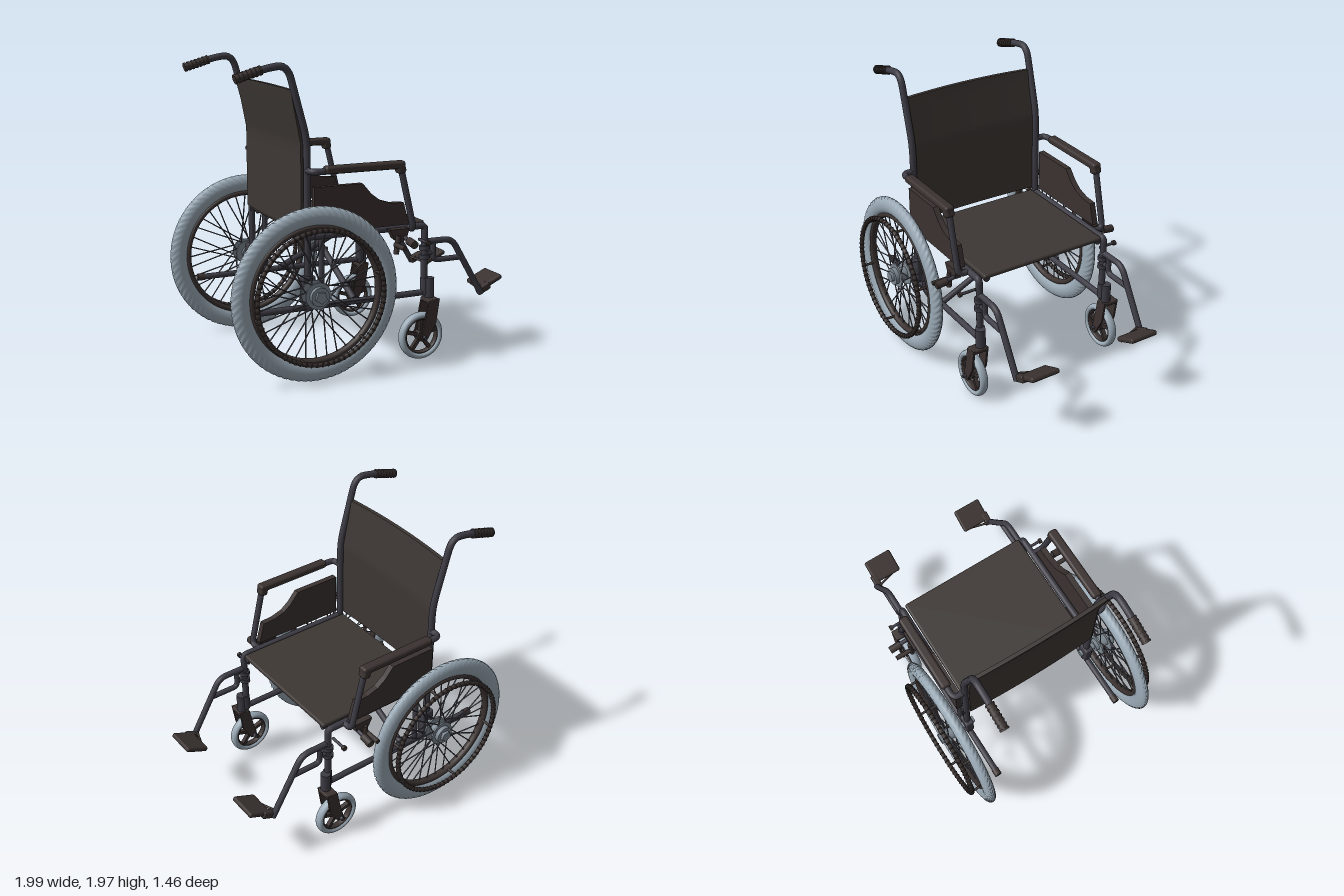
import * as THREE from 'three';
import { mergeGeometries } from 'three/addons/utils/BufferGeometryUtils.js';
import { RoundedBoxGeometry } from 'three/addons/geometries/RoundedBoxGeometry.js';

const mat = (color) => new THREE.MeshStandardMaterial({ color });
const STEEL = mat(0x3d3b44), DARK = mat(0x3a3230), FABRIC = mat(0x3d3734);
const TYRE = mat(0x9aa9b5), HUB = mat(0x7c8790), SPOKE = mat(0x55555f);
const V = (x, y, z) => new THREE.Vector3(x, y, z);

function add(parent, name, geo, material, x = 0, y = 0, z = 0) {
  const m = new THREE.Mesh(geo, material);
  m.name = name;
  m.position.set(x, y, z);
  parent.add(m);
  return m;
}

// Straight round bar between two points
function rodGeo(a, b, r, sides = 12) {
  const d = b.clone().sub(a);
  const g = new THREE.CylinderGeometry(r, r, d.length(), sides);
  g.applyQuaternion(new THREE.Quaternion().setFromUnitVectors(V(0, 1, 0), d.normalize()));
  return g.translate(...a.clone().add(b).multiplyScalar(0.5).toArray());
}
const rod = (p, name, a, b, r, m = STEEL) => add(p, name, rodGeo(a, b, r), m);

// Bent tube with rounded corners and capped ends
function bentTube(parent, name, pts, r, bend = 0.06, segs = 60) {
  const path = new THREE.CurvePath();
  let from = pts[0];
  for (let i = 1; i < pts.length - 1; i++) {
    const p = pts[i], k = (q) => Math.min(bend, p.distanceTo(q) * 0.45);
    const a = p.clone().add(pts[i - 1].clone().sub(p).setLength(k(pts[i - 1])));
    const b = p.clone().add(pts[i + 1].clone().sub(p).setLength(k(pts[i + 1])));
    path.add(new THREE.LineCurve3(from, a));
    path.add(new THREE.QuadraticBezierCurve3(a, p, b));
    from = b;
  }
  path.add(new THREE.LineCurve3(from, pts[pts.length - 1]));
  const caps = [[0, 1], [pts.length - 1, pts.length - 2]].map(([e, n]) => {
    const c = new THREE.CircleGeometry(r, 12);
    const dir = pts[e].clone().sub(pts[n]).normalize();
    c.applyQuaternion(new THREE.Quaternion().setFromUnitVectors(V(0, 0, 1), dir));
    return c.translate(...pts[e].toArray());
  });
  return add(parent, name, mergeGeometries([new THREE.TubeGeometry(path, segs, r, 12), ...caps]), STEEL);
}

// Flat plate in the x-y plane, centred on z
function plate(parent, name, pts, depth, z, material = DARK) {
  const shape = new THREE.Shape(pts.map(([x, y]) => new THREE.Vector2(x, y)));
  const g = new THREE.ExtrudeGeometry(shape, { depth, bevelEnabled: false });
  return add(parent, name, g.translate(0, 0, z - depth / 2), material);
}

// Ring with an oval section, its axis along z; tread cuts chevron grooves
function ovalRing(r, dr, halfW, segs, tread = 0) {
  const n = 24, pts = [];
  for (let j = 0; j <= n; j++) {
    const a = -Math.PI + (j / n) * Math.PI * 2;
    pts.push(new THREE.Vector2(r + dr * Math.cos(a), halfW * Math.sin(a)));
  }
  const g = new THREE.LatheGeometry(pts, segs), p = g.attributes.position;
  if (tread) {
    for (let i = 0; i < p.count; i++) {
      const seg = Math.floor(i / (n + 1)), off = Math.abs((i % (n + 1)) - n / 2);
      if (off > 5 || (seg + off) % 4 !== 0) continue;
      const k = 1 - tread / Math.hypot(p.getX(i), p.getZ(i));
      p.setX(i, p.getX(i) * k);
      p.setZ(i, p.getZ(i) * k);
    }
    g.computeVertexNormals();
  }
  return g.rotateX(Math.PI / 2);
}
const disc = (r, w, sides = 32) => new THREE.CylinderGeometry(r, r, w, sides).rotateX(Math.PI / 2);

function driveWheel(s) {
  const w = new THREE.Group();
  w.name = 'driveWheel';
  add(w, 'driveTyre', ovalRing(0.495, 0.06, 0.038, 288, 0.007), TYRE);
  add(w, 'wheelRim', ovalRing(0.427, 0.02, 0.026, 72), DARK);
  add(w, 'hubBarrel', disc(0.045, 0.13), HUB);
  for (const z of [-0.035, 0.035]) add(w, 'hubFlange', disc(0.085, 0.012), HUB, 0, 0, z);
  add(w, 'hubCap', disc(0.06, 0.03), HUB, 0, 0, s * 0.055);
  add(w, 'axleNut', disc(0.04, 0.03, 5), HUB, 0, 0, s * 0.075);
  // Crossed spokes
  const spokes = [];
  for (let i = 0; i < 36; i++) {
    const a = (i / 36) * Math.PI * 2, b = a + (i % 4 < 2 ? 0.65 : -0.65), z = i % 2 ? 0.035 : -0.035;
    spokes.push(rodGeo(V(0.078 * Math.cos(b), 0.078 * Math.sin(b), z),
      V(0.415 * Math.cos(a), 0.415 * Math.sin(a), 0), 0.0045, 6));
  }
  add(w, 'spokes', mergeGeometries(spokes), SPOKE);
  // Hand rim on short posts, with gripping ridges
  const rim = new THREE.Group();
  rim.name = 'handRim';
  add(rim, 'handRimRing', new THREE.TorusGeometry(0.422, 0.015, 10, 96), DARK);
  const ridges = [];
  for (let i = 0; i < 72; i++) {
    const a = (i / 72) * Math.PI * 2;
    ridges.push(new THREE.TorusGeometry(0.014, 0.005, 5, 10).rotateX(Math.PI / 2)
      .translate(0.422, 0, 0).rotateZ(a));
  }
  add(rim, 'handRimRidges', mergeGeometries(ridges), DARK);
  for (let i = 0; i < 6; i++) {
    const a = (i / 6) * Math.PI * 2 + 0.26, x = 0.42 * Math.cos(a), y = 0.42 * Math.sin(a);
    rod(rim, 'handRimPost', V(x, y, 0), V(x, y, -s * 0.085), 0.009, DARK);
  }
  rim.position.z = s * 0.092;
  w.add(rim);
  w.position.set(-0.445, 0.555, s * 0.622);
  return w;
}

function caster(s) {
  const c = new THREE.Group(), z = s * 0.525;
  c.name = 'caster';
  add(c, 'casterTyre', ovalRing(0.137, 0.022, 0.031, 64), TYRE, 0.345, 0.16, z);
  add(c, 'casterRim', ovalRing(0.115, 0.01, 0.022, 48), DARK, 0.345, 0.16, z);
  add(c, 'casterHub', disc(0.035, 0.06), DARK, 0.345, 0.16, z);
  for (let i = 0; i < 5; i++) {
    const spoke = new THREE.BoxGeometry(0.1, 0.024, 0.03).translate(0.065, 0, 0);
    add(c, 'casterSpoke', spoke.rotateZ(Math.PI / 2 + i * Math.PI * 0.4), DARK, 0.345, 0.16, z);
  }
  rod(c, 'casterAxle', V(0.345, 0.16, z - 0.08), V(0.345, 0.16, z + 0.08), 0.013);
  for (const d of [-0.05, 0.05]) {
    plate(c, 'forkLeg', [[0.375, 0.4], [0.455, 0.41], [0.43, 0.25], [0.37, 0.145],
      [0.32, 0.145], [0.345, 0.25]], 0.014, z + d);
  }
  add(c, 'forkCrown', new RoundedBoxGeometry(0.08, 0.03, 0.114, 2, 0.008), DARK, 0.415, 0.395, z);
  rod(c, 'casterStem', V(0.415, 0.38, s * 0.505), V(0.415, 0.54, s * 0.505), 0.034);
  return c;
}

function footrest(s) {
  const f = new THREE.Group(), z = s * 0.49;
  f.name = 'footrest';
  bentTube(f, 'footrestHanger', [V(0.4, 0.78, z), V(0.59, 0.78, z), V(0.825, 0.38, z)], 0.021);
  bentTube(f, 'footrestBrace', [V(0.45, 0.78, z), V(0.45, 0.65, z), V(0.66, 0.65, z)], 0.019, 0.04);
  for (const y of [0.68, 0.74]) rod(f, 'hangerClamp', V(0.385, y - 0.015, z), V(0.385, y + 0.015, z), 0.036);
  rod(f, 'hangerPin', V(0.385, 0.7, z), V(0.45, 0.7, z), 0.014);
  const pedal = add(f, 'footplate', new RoundedBoxGeometry(0.17, 0.035, 0.21, 3, 0.015), DARK, 0.915, 0.445, s * 0.385);
  pedal.rotation.z = 0.42;
  const hinge = add(f, 'footplateHinge', new RoundedBoxGeometry(0.1, 0.05, 0.05, 2, 0.012), DARK, 0.85, 0.41, s * 0.475);
  hinge.rotation.z = 0.42;
  rod(f, 'heelBar', V(0.8, 0.42, z), V(0.86, 0.4, s * 0.3), 0.008, DARK);
  return f;
}

function armrest(s) {
  const a = new THREE.Group(), zi = s * 0.49, zo = s * 0.57;
  a.name = 'armrest';
  bentTube(a, 'armrestTube', [V(-0.445, 1.31, zi), V(-0.445, 1.31, zo), V(0.16, 1.31, zo),
    V(0.26, 0.89, zo), V(0.26, 0.89, zi)], 0.021, 0.05, 100);
  add(a, 'armrestPad', new RoundedBoxGeometry(0.55, 0.05, 0.066, 3, 0.018), DARK, -0.09, 1.318, zo);
  const tip = add(a, 'armrestPadFront', new RoundedBoxGeometry(0.06, 0.075, 0.066, 3, 0.018), DARK, 0.157, 1.3, zo);
  tip.rotation.z = 0.24;
  plate(a, 'sidePanel', [[-0.42, 0.92], [0.24, 0.92], [0.2, 1.065], [0.11, 1.07], [0.03, 1.095],
    [-0.03, 1.14], [-0.09, 1.21], [-0.42, 1.21]], 0.04, s * 0.525);
  return a;
}

function brake(s) {
  const b = new THREE.Group();
  b.name = 'brake';
  plate(b, 'brakeBracket', [[0.09, 0.9], [0.23, 0.9], [0.21, 0.83], [0.16, 0.81], [0.12, 0.84]], 0.05, s * 0.545);
  rod(b, 'brakeShoe', V(0.135, 0.8, s * 0.56), V(0.135, 0.8, s * 0.69), 0.016, DARK);
  rod(b, 'brakeLink', V(0.135, 0.74, s * 0.57), V(0.15, 0.86, s * 0.57), 0.018, DARK);
  rod(b, 'brakeLever', V(0.2, 0.85, s * 0.5), V(0.2, 0.83, s * 0.64), 0.014);
  rod(b, 'brakeKnob', V(0.2, 0.83, s * 0.62), V(0.2, 0.82, s * 0.7), 0.026, DARK);
  return b;
}

function sideFrame(s) {
  const f = new THREE.Group(), z = s * 0.49;
  f.name = 'sideFrame';
  bentTube(f, 'backPost', [V(-0.445, 0.42, z), V(-0.445, 1.5, z), V(-0.57, 1.96, z), V(-0.72, 1.94, z),
    V(-0.88, 1.885, z)], 0.023, 0.09, 90);
  // Ribbed push grip
  const a = V(-0.745, 1.93, z), b = V(-0.9, 1.885, z);
  rod(f, 'pushGrip', a, b, 0.027, DARK);
  for (let i = 0; i <= 6; i++) {
    const p = a.clone().lerp(b, i / 6), d = b.clone().sub(a).setLength(0.006);
    rod(f, 'gripRib', p.clone().sub(d), p.clone().add(d), 0.031, DARK);
  }
  bentTube(f, 'upperRailAndFrontPost', [V(-0.46, 0.89, z), V(0.385, 0.89, z), V(0.385, 0.42, z)], 0.023, 0.025, 80);
  rod(f, 'frontPostSleeve', V(0.39, 0.43, z), V(0.39, 0.54, z), 0.03);
  rod(f, 'lowerRail', V(-0.83, 0.44, z), V(0.39, 0.44, z), 0.021);
  rod(f, 'tailCap', V(-0.85, 0.44, z), V(-0.8, 0.44, z), 0.025, DARK);
  rod(f, 'innerPost', V(-0.35, 0.44, z), V(-0.35, 0.89, z), 0.019);
  rod(f, 'seatRail', V(-0.43, 0.885, s * 0.437), V(0.395, 0.885, s * 0.437), 0.022);
  rod(f, 'axle', V(-0.445, 0.555, s * 0.44), V(-0.445, 0.555, s * 0.66), 0.024, HUB);
  add(f, 'axlePlate', new RoundedBoxGeometry(0.09, 0.18, 0.06, 2, 0.012), STEEL, -0.445, 0.555, z);
  rod(f, 'frameBolt', V(0.345, 0.8, s * 0.49), V(0.345, 0.8, s * 0.61), 0.01);
  add(f, 'boltHead', disc(0.018, 0.02, 12), DARK, 0.345, 0.8, s * 0.61);
  return f;
}

export function createModel() {
  const chair = new THREE.Group();
  chair.name = 'wheelchair';
  for (const s of [1, -1]) {
    chair.add(sideFrame(s), armrest(s), brake(s), footrest(s), caster(s), driveWheel(s));
    // Folding cross brace, one bar leaning each way
    const x = s > 0 ? -0.24 : -0.12;
    rod(chair, 'crossBrace', V(x, 0.885, s * 0.437), V(x, 0.45, -s * 0.48), 0.021);
  }
  rod(chair, 'crossPivot', V(-0.27, 0.677, 0), V(-0.09, 0.677, 0), 0.013);
  add(chair, 'seat', new RoundedBoxGeometry(0.85, 0.032, 0.92, 3, 0.014), FABRIC, -0.025, 0.9, 0);

  // Sling back: leans with the posts and sags between them
  const back = new THREE.BoxGeometry(0.026, 0.88, 0.955, 1, 24, 16).translate(0, 1.365, 0);
  const p = back.attributes.position;
  for (let i = 0; i < p.count; i++) {
    const y = p.getY(i), bow = 1 - (p.getZ(i) / 0.478) ** 2;
    const lean = Math.max(0, y - 1.47) * 0.19;
    p.setX(i, p.getX(i) - 0.468 - lean - 0.014 * bow);
    if (y > 1.8) p.setY(i, y + 0.01 * bow);
  }
  back.computeVertexNormals();
  add(chair, 'backrest', back, FABRIC);
  return chair;
}
